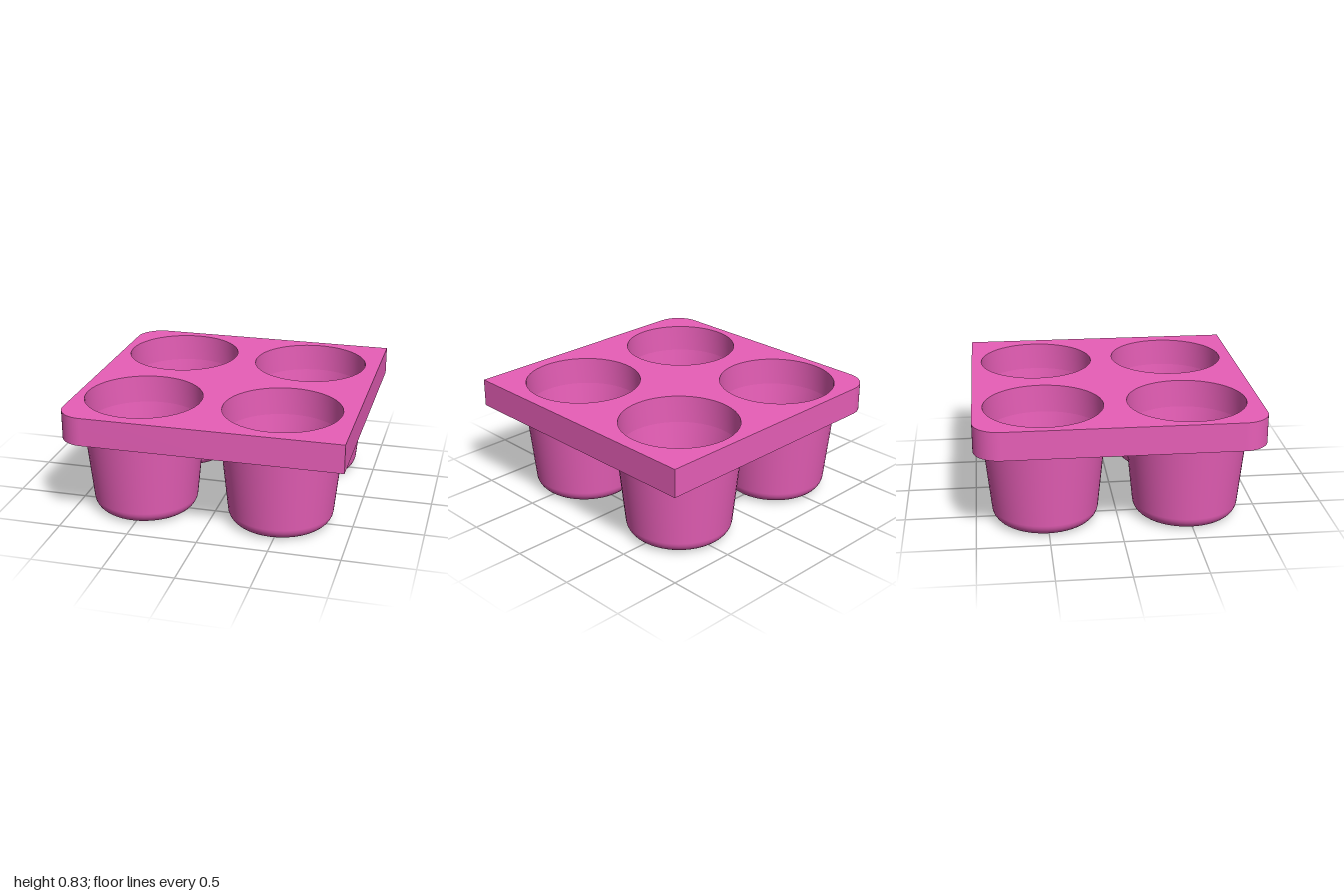
import * as THREE from 'three';
import { toCreasedNormals } from 'three/addons/utils/BufferGeometryUtils.js';

const PLATE_BOTTOM = 0.63, PLATE_TOP = 0.832;
const HOLE_RADIUS = 0.418, WALL = 0.013;
const CUP_X = [-0.52, 0.48], CUP_Z = [-0.51, 0.49];

// Half cross-section of a tapered cup with a rounded bottom, from axis to rim
function cupProfile(floorY, rimRadius, sideRadius, fillet) {
  const points = [new THREE.Vector2(0, floorY)];
  const steps = 8, sweep = Math.PI / 2 - 0.1;
  for (let i = 0; i <= steps; i++) {
    const a = (i / steps) * sweep;
    points.push(new THREE.Vector2(
      sideRadius - fillet + fillet * Math.sin(a),
      floorY + fillet * (1 - Math.cos(a))));
  }
  points.push(new THREE.Vector2(rimRadius, PLATE_BOTTOM));
  return points;
}

// Tray outline: two rounded corners on the -x side, square on the +x side
function trayGeometry() {
  const r = 0.19;
  const shape = new THREE.Shape();
  shape.moveTo(1, -1);
  shape.lineTo(1, 1);
  shape.lineTo(-1 + r, 1);
  shape.absarc(-1 + r, 1 - r, r, Math.PI / 2, Math.PI, false);
  shape.lineTo(-1, -1 + r);
  shape.absarc(-1 + r, -1 + r, r, Math.PI, Math.PI * 1.5, false);
  shape.closePath();
  for (const x of CUP_X) for (const z of CUP_Z) {
    const hole = new THREE.Path();
    hole.absarc(x, -z, HOLE_RADIUS, 0, Math.PI * 2, true);
    shape.holes.push(hole);
  }
  const geometry = new THREE.ExtrudeGeometry(shape, {
    depth: PLATE_TOP - PLATE_BOTTOM, bevelEnabled: false, curveSegments: 24,
  });
  geometry.rotateX(-Math.PI / 2);
  geometry.translate(0, PLATE_BOTTOM, 0);
  return toCreasedNormals(geometry, Math.PI / 5);
}

export function createModel() {
  const model = new THREE.Group();
  model.name = 'fourCupTray';
  const material = new THREE.MeshStandardMaterial({ color: 0xe85fb8 });

  const add = (parent, name, geometry) => {
    const mesh = new THREE.Mesh(geometry, material);
    mesh.name = name;
    parent.add(mesh);
  };

  add(model, 'tray', trayGeometry());

  // Thin-walled cups hanging below the holes
  const outer = new THREE.LatheGeometry(
    cupProfile(0, HOLE_RADIUS + WALL, 0.376, 0.1), 48);
  const inner = new THREE.LatheGeometry(
    cupProfile(WALL, HOLE_RADIUS, 0.376 - WALL, 0.1 - WALL).reverse(), 48);
  for (const x of CUP_X) for (const z of CUP_Z) {
    const cup = new THREE.Group();
    cup.name = `${z > 0 ? 'front' : 'back'}${x > 0 ? 'Left' : 'Right'}Cup`;
    cup.position.set(x, 0, z);
    add(cup, 'cupOutside', outer);
    add(cup, 'cupInside', inner);
    model.add(cup);
  }
  return model;
}
